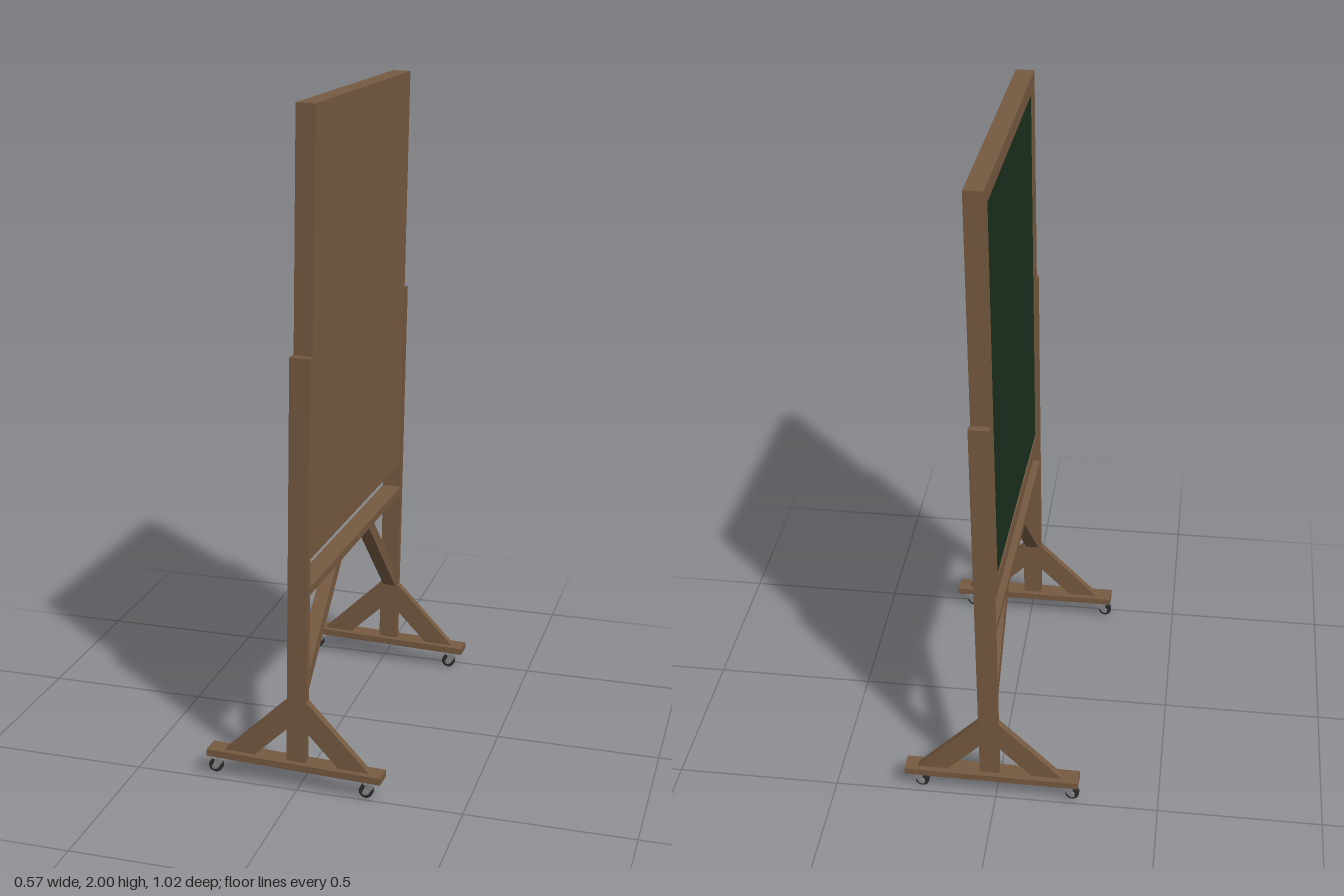
import * as THREE from 'three';

const mat = (name, color) => {
  const m = new THREE.MeshStandardMaterial({ color });
  m.name = name;
  return m;
};

export function createModel() {
  const wood = mat('wood', 0x765a41);
  const slate = mat('chalkboard green', 0x1b3020);
  const metal = mat('caster metal', 0x85878a);
  const rubber = mat('wheel rubber', 0x2c2c2e);

  const stand = new THREE.Group();
  stand.name = 'chalkboardStand';

  const add = (parent, name, geo, material, x = 0, y = 0, z = 0) => {
    const mesh = new THREE.Mesh(geo, material);
    mesh.name = name;
    mesh.position.set(x, y, z);
    parent.add(mesh);
    return mesh;
  };
  // Box given by its minimum and maximum corners
  const box = (parent, name, material, [x0, y0, z0], [x1, y1, z1]) =>
    add(parent, name, new THREE.BoxGeometry(x1 - x0, y1 - y0, z1 - z0), material,
      (x0 + x1) / 2, (y0 + y1) / 2, (z0 + z1) / 2);
  // Flat outline extruded and centred on its own thickness
  const plank = (points, depth) => {
    const shape = new THREE.Shape(points.map(([a, b]) => new THREE.Vector2(a, b)));
    return new THREE.ExtrudeGeometry(shape, { depth, bevelEnabled: false })
      .translate(0, 0, -depth / 2);
  };

  const MID = 0.006;      // x centre of posts and board
  const POST_Z = 0.473;   // z centre of each leg
  const BEAM_TOP = 0.085;

  // Board: backing panel, raised frame and writing surface
  const board = new THREE.Group();
  board.name = 'board';
  stand.add(board);
  const xF = -0.022, xIn = -0.016, xB = 0.034;
  const yB = 0.716, yT = 2.0, zH = 0.455, fw = 0.05;
  box(board, 'backingPanel', wood, [xIn, yB, -zH], [xB, yT, zH]);
  box(board, 'frameTop', wood, [xF, yT - fw, -zH], [xIn, yT, zH]);
  box(board, 'frameBottom', wood, [xF, yB, -zH], [xIn, yB + fw, zH]);
  for (const s of [-1, 1]) {
    const zs = [s * zH, s * (zH - fw)].sort((a, b) => a - b);
    box(board, 'frameSide', wood, [xF, yB + fw, zs[0]], [xIn, yT - fw, zs[1]]);
  }
  box(board, 'writingSurface', slate,
    [xIn - 0.002, yB + fw, -zH + fw], [xIn, yT - fw, zH - fw]);

  // Cross rail between the posts
  box(stand, 'crossRail', wood, [MID - 0.03, 0.608, -0.461], [MID + 0.03, 0.632, 0.461]);

  // Swivel caster: plate, stem, fork, wheel and hub
  const makeCaster = (trail) => {
    const c = new THREE.Group();
    c.name = 'caster';
    add(c, 'mountPlate', new THREE.BoxGeometry(0.04, 0.004, 0.036), metal, 0, 0.062, 0);
    add(c, 'swivel', new THREE.CylinderGeometry(0.014, 0.016, 0.012, 16), metal, 0, 0.054, 0);
    add(c, 'forkBridge', new THREE.BoxGeometry(0.028, 0.004, 0.03), metal, trail / 2, 0.05, 0);
    const wheel = new THREE.CylinderGeometry(0.021, 0.021, 0.016, 20).rotateX(Math.PI / 2);
    const hub = new THREE.CylinderGeometry(0.008, 0.008, 0.034, 12).rotateX(Math.PI / 2);
    add(c, 'wheel', wheel, rubber, trail, 0.025, 0);
    add(c, 'hub', hub, metal, trail, 0.025, 0);
    const fork = plank([[trail - 0.009, 0.018], [trail + 0.009, 0.018],
      [0.014, 0.05], [-0.014, 0.05]], 0.003);
    for (const s of [-1, 1]) add(c, 'forkPlate', fork, metal, 0, 0, s * 0.0125);
    return c;
  };

  // Two mirrored leg assemblies
  const footShape = [[0.224, BEAM_TOP], [0.03, 0.28], [0.03, 0.185], [0.13, BEAM_TOP]];
  const braceShape = [[0.461, 0.275], [0.461, 0.33], [0.183, 0.608], [0.128, 0.608]];
  for (const s of [-1, 1]) {
    const leg = new THREE.Group();
    leg.name = s > 0 ? 'frontLeg' : 'backLeg';
    stand.add(leg);
    const z = s * POST_Z;
    box(leg, 'post', wood, [MID - 0.03, BEAM_TOP, z - 0.0125], [MID + 0.03, 1.312, z + 0.0125]);
    box(leg, 'footBeam', wood, [-0.27, 0.064, z - 0.03], [0.27, BEAM_TOP, z + 0.03]);

    // Diagonal foot braces on both sides of the post
    for (const side of [-1, 1]) {
      const geo = plank(footShape.map(([x, y]) => [side * x, y]), 0.023);
      add(leg, 'footBrace', geo, wood, MID, 0, z);
    }
    // Diagonal brace from post up to the cross rail
    const brace = plank(braceShape.map(([a, b]) => [-s * a, b]), 0.042).rotateY(Math.PI / 2);
    add(leg, 'railBrace', brace, wood, MID, 0, 0);

    for (const x of [-0.235, 0.235]) {
      const caster = makeCaster(-0.015);
      caster.position.set(x, 0, z);
      leg.add(caster);
    }
  }

  // Slight turn and lean of the whole stand
  stand.rotation.set(0, -0.028, -0.017, 'YXZ');
  const model = new THREE.Group();
  model.name = 'rollingChalkboard';
  model.add(stand);
  return model;
}
